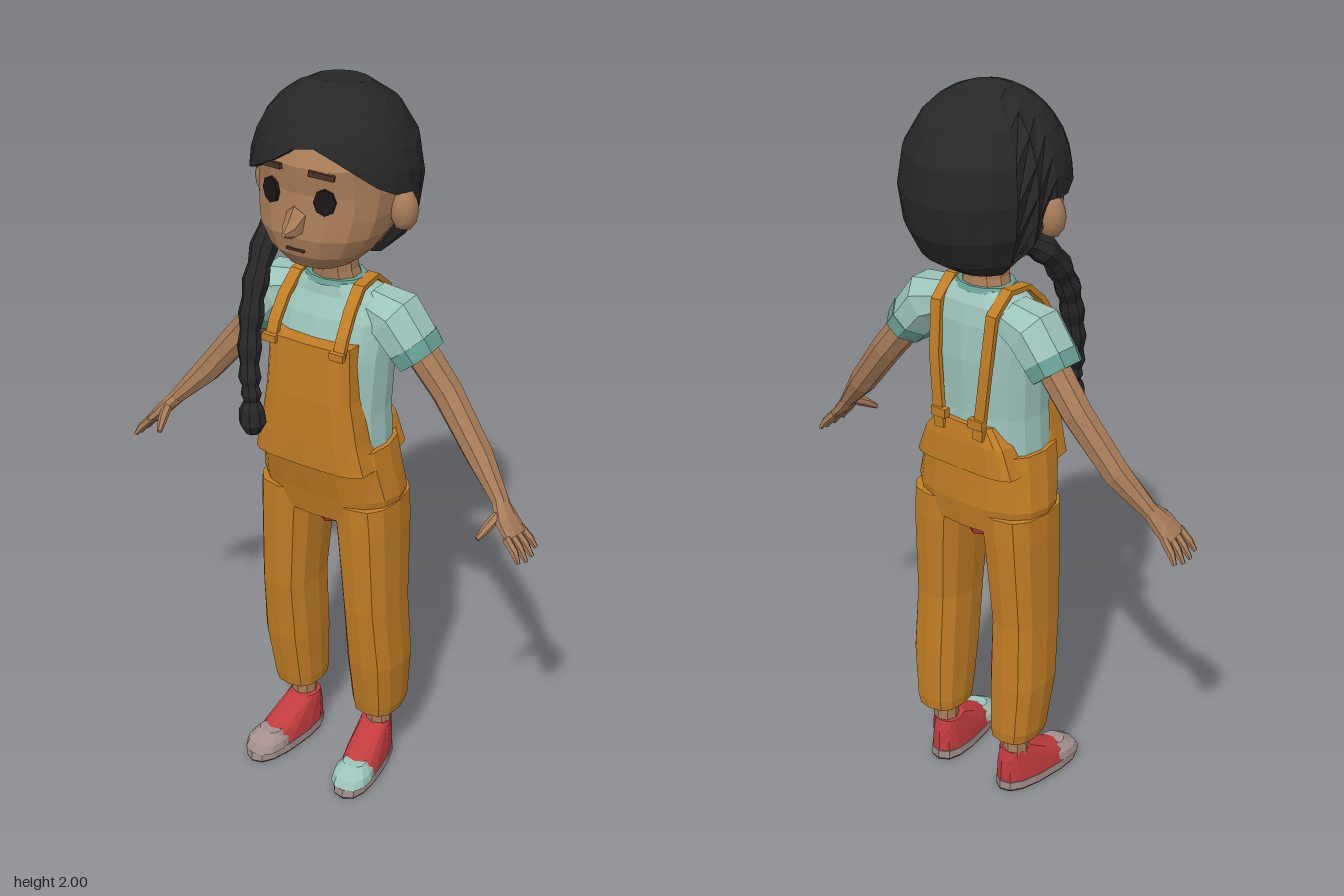
import * as THREE from 'three';

const paint = (name, color) => Object.assign(new THREE.MeshStandardMaterial({ color }), { name });
const skin = paint('skin', 0xa87c58);
const hairBlack = paint('hair black', 0x272727);
const orange = paint('overall orange', 0xc17d25);
const mint = paint('shirt mint', 0x9cc4bb);
const teal = paint('trim teal', 0x689f94);
const red = paint('shoe red', 0xc23c3e);
const grey = paint('sole grey', 0xa3908d);
const dark = paint('eye black', 0x1d1716);
const brown = paint('dark brown', 0x4a3228);
const V = (x, y, z) => new THREE.Vector3(x, y, z);

// Faceted skin over a list of equal-length closed rings, capped at both ends
function loft(rings) {
  const pos = [], n = rings[0].length;
  const tri = (...p) => p.forEach(v => pos.push(v.x, v.y, v.z));
  for (let i = 0; i < rings.length - 1; i++) for (let j = 0; j < n; j++) {
    const k = (j + 1) % n, a = rings[i], b = rings[i + 1];
    tri(a[j], a[k], b[k]);
    tri(a[j], b[k], b[j]);
  }
  for (const [r, top] of [[rings[0], false], [rings.at(-1), true]]) {
    const c = r.reduce((s, p) => s.add(p), V(0, 0, 0)).divideScalar(n);
    for (let j = 0; j < n; j++) {
      const k = (j + 1) % n;
      top ? tri(c, r[j], r[k]) : tri(c, r[k], r[j]);
    }
  }
  const g = new THREE.BufferGeometry();
  g.setAttribute('position', new THREE.Float32BufferAttribute(pos, 3));
  g.computeVertexNormals();
  return g;
}

// Horizontal rounded sections: [centre x, y, half width, front z, back z]
function stack(rows, power = 2.4, n = 16) {
  const soft = v => Math.sign(v) * Math.abs(v) ** (2 / power);
  return loft(rows.map(([cx, y, w, zf, zb]) => Array.from({ length: n }, (_, j) => {
    const a = j / n * Math.PI * 2;
    return V(cx + w * soft(Math.sin(a)), y, (zf + zb) / 2 + (zf - zb) / 2 * soft(Math.cos(a)));
  })));
}

// Oval sections along a path: [x, y, z, radius along ref, other radius]
function limb(path, ref, n = 8) {
  const pts = path.map(p => V(p[0], p[1], p[2]));
  return loft(path.map((p, i) => {
    const t = pts[Math.min(i + 1, pts.length - 1)].clone().sub(pts[Math.max(i - 1, 0)]).normalize();
    const s = ref.clone().addScaledVector(t, -ref.dot(t)).normalize();
    const o = t.clone().cross(s);
    return Array.from({ length: n }, (_, j) => {
      const a = (j + 0.5) / n * Math.PI * 2;
      return pts[i].clone().addScaledVector(s, p[3] * Math.cos(a)).addScaledVector(o, p[4] * Math.sin(a));
    });
  }));
}

// Hair shell: rows run from the crown to a hem that changes with direction
function hairShell() {
  const hem = [[-180, 165], [-115, 160], [-98, 95], [-75, 94], [-50, 87], [-20, 74], [8, 57],
    [35, 68], [60, 84], [75, 91], [98, 94], [115, 160], [180, 165]];
  const limit = a => {
    const i = Math.max(1, hem.findIndex(h => h[0] >= a));
    const [p, q] = [hem[i - 1], hem[i]];
    return p[1] + (q[1] - p[1]) * (a - p[0]) / (q[0] - p[0]);
  };
  const row = (t, k) => Array.from({ length: 24 }, (_, j) => {
    const az = j * 15 - 180, a = az * Math.PI / 180, th = limit(az) * t * Math.PI / 180;
    const r = Math.sin(th) ** (th > Math.PI / 2 ? 0.6 : 0.95) * k, c = Math.cos(a);
    return V(0.212 * r * Math.sin(a), 1.765 + 0.235 * Math.cos(th), (c > 0 ? 0.205 : 0.235) * r * c);
  });
  const rows = [row(1, 0.78)];
  for (let i = 7; i >= 1; i--) rows.push(row(i / 7, 1));
  return loft(rows);
}

export function createModel() {
  const model = new THREE.Group();
  const X = V(1, 0, 0), Z = V(0, 0, 1);
  const add = (name, geo, mat, parent = model) => {
    const m = new THREE.Mesh(geo, mat);
    m.name = name;
    parent.add(m);
    return m;
  };

  // Head and neck
  add('head', stack([[0, 1.54, 0.05, 0.08, -0.06], [0, 1.56, 0.09, 0.145, -0.08], [0, 1.6, 0.132, 0.175, -0.1],
    [0, 1.65, 0.165, 0.185, -0.13], [0, 1.7, 0.18, 0.177, -0.15], [0, 1.76, 0.186, 0.17, -0.16],
    [0, 1.83, 0.183, 0.178, -0.16], [0, 1.9, 0.145, 0.14, -0.13], [0, 1.95, 0.08, 0.07, -0.08]], 2.3), skin);
  add('neck', stack([[0, 1.46, 0.075, 0.05, -0.07], [0, 1.51, 0.06, 0.055, -0.06], [0, 1.6, 0.06, 0.07, -0.06]], 2, 10), skin);
  add('nose', limb([[0, 1.69, 0.165, 0.03, 0.045], [0, 1.674, 0.205, 0.02, 0.022], [0, 1.674, 0.228, 0.006, 0.006]], X, 6), skin);
  add('mouth', new THREE.BoxGeometry(0.05, 0.006, 0.008), brown).position.set(0, 1.618, 0.178);

  // Hair and side braid
  add('hair', hairShell(), hairBlack);
  const braid = new THREE.CatmullRomCurve3([V(-0.12, 1.66, -0.07), V(-0.165, 1.6, 0.02), V(-0.16, 1.49, 0.11),
    V(-0.15, 1.37, 0.16), V(-0.135, 1.24, 0.19), V(-0.125, 1.17, 0.197)]);
  add('braid', limb(Array.from({ length: 17 }, (_, i) => {
    const p = braid.getPoint(i / 16), r = (i % 2 ? 0.038 : 0.031) - 0.012 * (i / 16) ** 2;
    return [p.x, p.y, p.z, r, r];
  }), X), hairBlack);
  add('braidTuft', limb([[-0.122, 1.085, 0.2, 0.02, 0.02], [-0.122, 1.115, 0.2, 0.036, 0.036],
    [-0.124, 1.15, 0.2, 0.033, 0.033], [-0.126, 1.185, 0.195, 0.015, 0.015]], X), hairBlack);

  // Shirt
  add('shirt', stack([[0, 1.0, 0.165, 0.13, -0.1], [0, 1.15, 0.158, 0.13, -0.1], [0, 1.3, 0.165, 0.12, -0.105],
    [0, 1.4, 0.172, 0.09, -0.1], [0, 1.45, 0.145, 0.065, -0.09], [0, 1.485, 0.08, 0.06, -0.07]]), mint);
  add('collar', stack([[0, 1.478, 0.09, 0.066, -0.078], [0, 1.492, 0.08, 0.06, -0.07]], 2, 12), teal);

  // Overalls body
  add('overallHips', stack([[0, 0.825, 0.185, 0.105, -0.11], [0, 0.9, 0.2, 0.122, -0.122],
    [0, 1.0, 0.184, 0.15, -0.12], [0, 1.05, 0.175, 0.152, -0.115]]), orange);
  add('bib', stack([[0, 1.0, 0.17, 0.155, 0], [0, 1.08, 0.15, 0.158, 0], [0, 1.2, 0.13, 0.158, 0],
    [0, 1.35, 0.122, 0.148, 0]], 4), orange);
  add('backPanel', stack([[0, 1.0, 0.16, 0, -0.122], [0, 1.08, 0.13, 0, -0.122], [0, 1.13, 0.09, 0, -0.115]], 4), orange);
  add('crotchLining', stack([[0, 0.775, 0.03, 0.05, -0.06], [0, 0.84, 0.05, 0.09, -0.095]], 2.4, 8), red);

  for (const s of [-1, 1]) {
    const side = new THREE.Group();
    side.name = s > 0 ? 'leftSide' : 'rightSide';
    model.add(side);
    const put = (name, geo, mat) => add(name, geo, mat, side);
    const path = rows => rows.map(([x, ...rest]) => [s * x, ...rest]);

    // Face details
    const ear = put('ear', new THREE.IcosahedronGeometry(1, 1), skin);
    ear.scale.set(0.036, 0.056, 0.036);
    ear.position.set(s * 0.196, 1.703, 0.0);
    const eye = put('eye', new THREE.CylinderGeometry(1, 1, 0.009, 8).rotateX(Math.PI / 2), dark);
    eye.scale.set(0.028, 0.034, 1);
    eye.position.set(s * 0.076, 1.752, 0.165);
    eye.rotation.y = s * 0.32;
    const brow = put('eyebrow', new THREE.BoxGeometry(0.065, 0.014, 0.009), brown);
    brow.position.set(s * 0.07, 1.82, 0.17);
    brow.rotation.set(0, s * 0.28, s * -0.12);

    // Sleeve, arm and hand
    put('sleeve', limb(path([[0.1, 1.42, -0.02, 0.07, 0.055], [0.165, 1.4, -0.02, 0.085, 0.075],
      [0.218, 1.335, -0.022, 0.082, 0.066]]), Z), mint);
    put('sleeveCuff', limb(path([[0.215, 1.34, -0.022, 0.084, 0.068], [0.24, 1.308, -0.024, 0.08, 0.062]]), Z), teal);
    put('arm', limb(path([[0.21, 1.345, -0.03, 0.045, 0.045], [0.31, 1.22, -0.035, 0.04, 0.042],
      [0.42, 1.08, -0.015, 0.038, 0.036], [0.505, 0.985, 0.018, 0.026, 0.02]]), Z), skin);
    put('palm', limb(path([[0.5, 0.99, 0.018, 0.026, 0.02], [0.53, 0.955, 0.035, 0.042, 0.019],
      [0.562, 0.922, 0.042, 0.045, 0.013]]), Z), skin);
    for (let f = 0; f < 4; f++) {
      const z = 0.008 + f * 0.023, reach = f === 0 || f === 3 ? 0.85 : 1;
      put('finger', limb(path([[0.552, 0.93, z, 0.012, 0.012], [0.58, 0.9, z + (f - 1.5) * 0.004, 0.011, 0.011],
        [0.56 + 0.042 * reach, 0.922 - 0.055 * reach, z + (f - 1.5) * 0.008, 0.006, 0.006]]), Z, 6), skin);
    }
    put('thumb', limb(path([[0.515, 0.975, 0.04, 0.014, 0.014], [0.503, 0.95, 0.085, 0.013, 0.013],
      [0.492, 0.928, 0.117, 0.007, 0.007]]), X, 6), skin);

    // Straps with buckles
    put('strap', limb(path([[0.1, 1.33, 0.143, 0.022, 0.01], [0.1, 1.38, 0.122, 0.022, 0.01], [0.097, 1.435, 0.085, 0.022, 0.01],
      [0.092, 1.482, 0.035, 0.022, 0.01], [0.09, 1.488, -0.035, 0.022, 0.01], [0.088, 1.44, -0.093, 0.022, 0.01],
      [0.082, 1.3, -0.11, 0.022, 0.01], [0.062, 1.1, -0.117, 0.022, 0.01]]), X, 4), orange);
    put('backBuckle', new THREE.BoxGeometry(0.045, 0.025, 0.02), orange).position.set(s * 0.06, 1.145, -0.12);
    put('frontBuckle', new THREE.BoxGeometry(0.04, 0.02, 0.015), orange).position.set(s * 0.1, 1.34, 0.148);

    // Trouser leg and ankle
    put('trouserLeg', stack(path([[0.128, 0.18, 0.062, 0.045, -0.103], [0.13, 0.21, 0.068, 0.052, -0.107],
      [0.134, 0.36, 0.077, 0.078, -0.107], [0.13, 0.55, 0.074, 0.1, -0.098], [0.118, 0.8, 0.083, 0.11, -0.114],
      [0.11, 0.88, 0.088, 0.112, -0.115]]), 2.6, 12), orange);
    put('ankle', stack(path([[0.125, 0.09, 0.036, 0.005, -0.07], [0.125, 0.22, 0.034, 0.005, -0.065]]), 2, 8), skin);

    // Shoe, turned slightly outward
    const shoe = new THREE.Group();
    shoe.name = 'shoe';
    shoe.position.x = s * 0.123;
    shoe.rotation.y = s * 0.14;
    side.add(shoe);
    add('outsole', stack([[0, 0, 0.054, 0.203, -0.085], [0, 0.006, 0.056, 0.205, -0.086]], 2.5, 14), brown, shoe);
    add('sole', stack([[0, 0.006, 0.056, 0.205, -0.086], [0, 0.028, 0.056, 0.203, -0.086]], 2.5, 14), grey, shoe);
    add('upper', stack([[0, 0.028, 0.054, 0.19, -0.083], [0, 0.06, 0.051, 0.15, -0.082],
      [0, 0.092, 0.046, 0.085, -0.079], [0, 0.125, 0.04, 0.015, -0.07]], 2.4, 14), red, shoe);
    add('toeCap', stack([[0, 0.028, 0.055, 0.201, 0.06], [0, 0.05, 0.051, 0.188, 0.065],
      [0, 0.073, 0.032, 0.15, 0.09]], 2.4, 12), s > 0 ? mint : grey, shoe);
  }
  return model;
}
